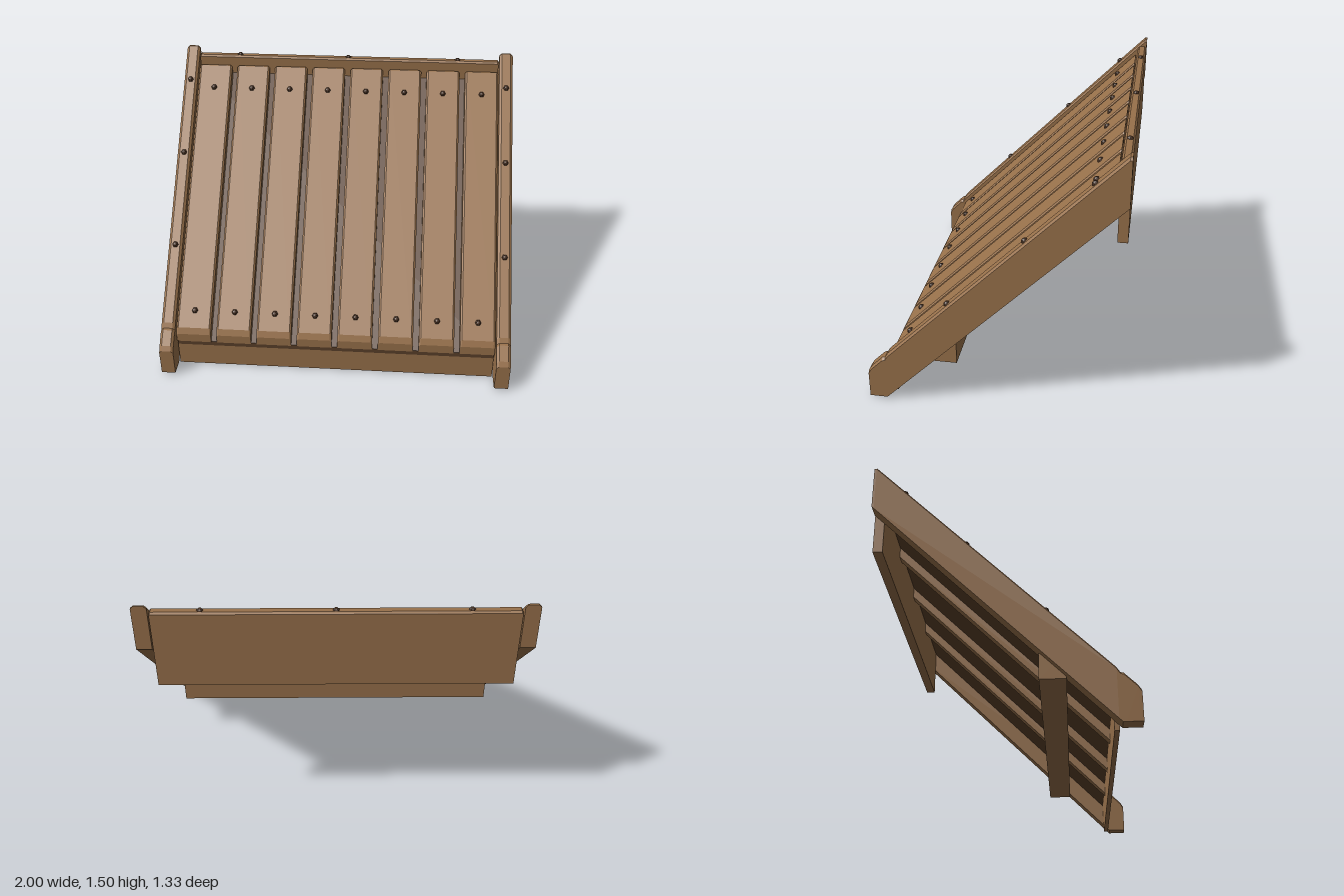
import * as THREE from 'three';

const mat = (name, color) => {
  const m = new THREE.MeshStandardMaterial({ color });
  m.name = name;
  return m;
};

// Solid lofted from +z to -z through stations [z, bottom, top]; long top edges chamfered by c
function beam(x0, x1, stations, c = 0) {
  const loops = stations.map(([z, b, t]) => [
    [x0, b, z], [x1, b, z], [x1, t - c, z], [x1 - c, t, z], [x0 + c, t, z], [x0, t - c, z],
  ]);
  const pos = [];
  const tri = (...p) => p.forEach((v) => pos.push(...v));
  for (let s = 0; s < loops.length - 1; s++) {
    for (let i = 0; i < 6; i++) {
      const j = (i + 1) % 6, P = loops[s], Q = loops[s + 1];
      tri(P[i], Q[i], Q[j]);
      tri(P[i], Q[j], P[j]);
    }
  }
  const first = loops[0], last = loops[loops.length - 1];
  for (let i = 1; i < 5; i++) {
    tri(first[0], first[i], first[i + 1]);
    tri(last[0], last[i + 1], last[i]);
  }
  const g = new THREE.BufferGeometry();
  g.setAttribute('position', new THREE.Float32BufferAttribute(pos, 3));
  g.computeVertexNormals();
  return g;
}

export function createModel() {
  const wood = mat('wood', 0x98714b);
  const darkWood = mat('dark wood', 0x5a3f29);
  const iron = mat('bolt brown', 0x4a3324);
  const model = new THREE.Group();
  model.name = 'woodenRamp';
  const add = (name, geo, material) => {
    const mesh = new THREE.Mesh(geo, material);
    mesh.name = name;
    model.add(mesh);
    return mesh;
  };

  // Low-poly domed bolt head, tilted with the slope unless flat
  const boltGeo = new THREE.SphereGeometry(0.018, 6, 3, 0, Math.PI * 2, 0, Math.PI / 2).toNonIndexed();
  boltGeo.scale(1, 0.9, 1);
  boltGeo.computeVertexNormals();
  const bolt = (name, x, y, z, tilt = Math.PI / 4) => {
    const b = add(name, boltGeo, iron);
    b.position.set(x, y, z);
    b.rotation.x = tilt;
  };

  // Side rails with a small notch above the foot
  const rail = [
    [0.667, 0.01, 0.17], [0.65, 0.01, 0.197], [0.587, 0.01, 0.26], [0.572, 0.01, 0.263],
    [0.555, 0.027, 0.29], [-0.655, 1.235, 1.5], [-0.667, 1.247, 1.5],
  ];
  for (const s of [-1, 1]) {
    add('sideRail', beam(s * 0.96 - 0.04, s * 0.96 + 0.04, rail, 0.014), wood);
    for (const z of [-0.5, -0.17, 0.23]) bolt('railBolt', s * 0.96, 0.845 - z, z);
  }

  // Dark deck sheet under the planks
  add('deckSheet', beam(-0.912, 0.912, [[0.563, 0.142, 0.172], [-0.62, 1.325, 1.355]]), darkWood);

  // Eight deck planks, each with two bolts
  const plank = [[0.567, 0.168, 0.22], [0.55, 0.185, 0.255], [-0.595, 1.33, 1.4], [-0.602, 1.337, 1.402]];
  for (let i = 0; i < 8; i++) {
    const x = (i - 3.5) * 0.2333;
    add('plank', beam(x - 0.1, x + 0.1, plank, 0.01), wood);
    for (const z of [-0.495, 0.478]) bolt('plankBolt', x, 0.805 - z, z);
  }

  // Stringers beneath the deck
  for (const x of [-0.46, 0, 0.46]) {
    add('stringer', beam(x - 0.03, x + 0.03, [[0.54, 0.105, 0.166], [-0.617, 1.262, 1.323]]), wood);
  }

  // Back board with chamfered top and its bolts
  add('backBoard', beam(-0.915, 0.915, [
    [-0.613, 1.02, 1.45], [-0.623, 1.02, 1.46], [-0.655, 1.02, 1.46], [-0.665, 1.02, 1.45],
  ], 0.006), wood);
  for (const x of [-0.667, 0, 0.667]) bolt('backBoardBolt', x, 1.457, -0.64, 0);

  // Front kick board and the lower cross beam
  add('frontBoard', beam(-0.915, 0.915, [[0.56, 0, 0.146], [0.535, 0, 0.168]]), wood);
  add('crossBeam', beam(-0.96, 0.96, [[0.322, 0.25, 0.385], [0.19, 0.25, 0.385]]), wood);

  return model;
}
